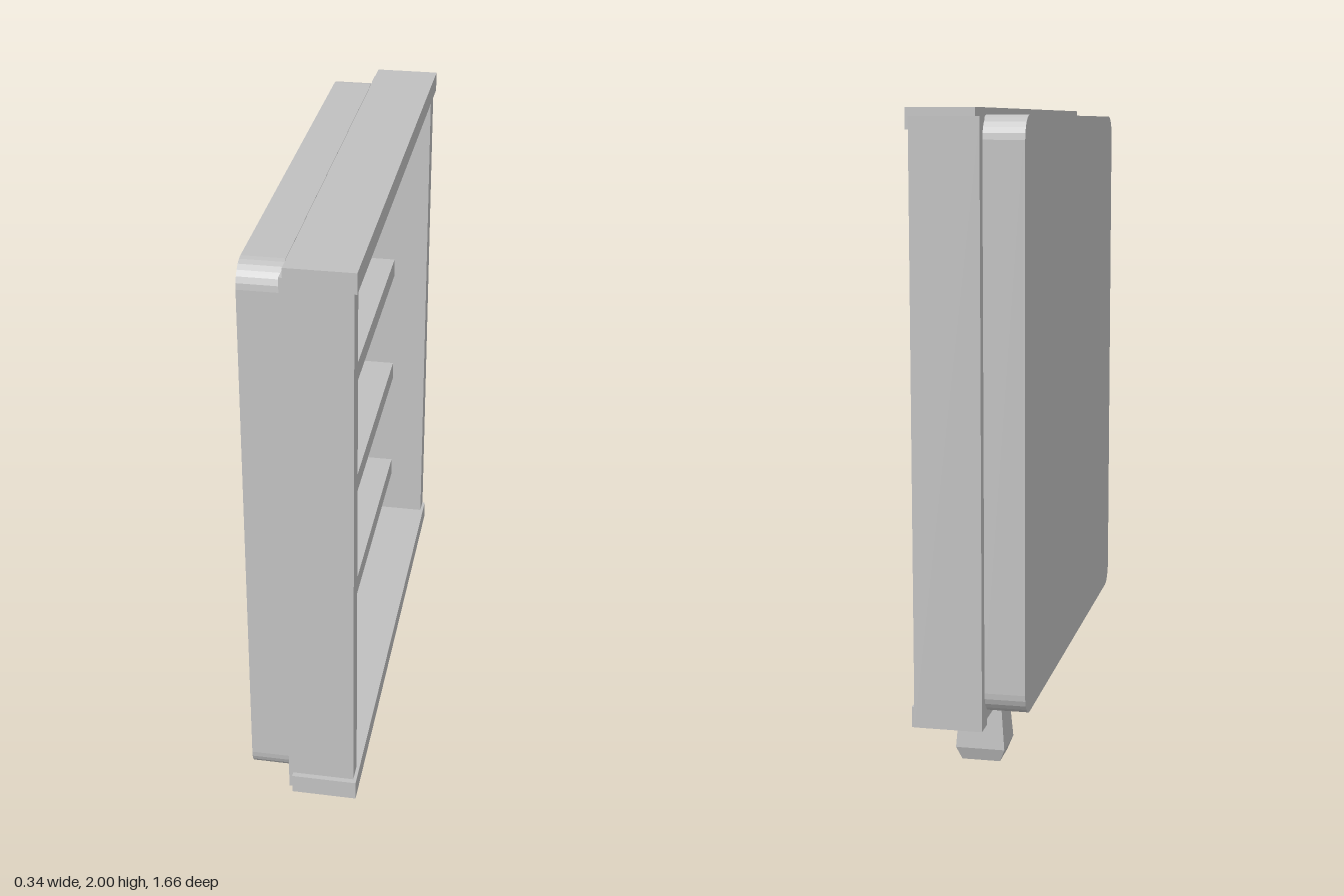
import * as THREE from 'three';

const grey = new THREE.MeshStandardMaterial({ color: 0xc0c0c0 });
grey.name = 'light grey';

// Box from its minimum and maximum corners
function slab(name, [x0, y0, z0], [x1, y1, z1]) {
  const mesh = new THREE.Mesh(new THREE.BoxGeometry(x1 - x0, y1 - y0, z1 - z0), grey);
  mesh.position.set((x0 + x1) / 2, (y0 + y1) / 2, (z0 + z1) / 2);
  mesh.name = name;
  return mesh;
}

// Rounded rectangle centred on the origin
function roundedRect(Type, w, h, r) {
  const s = new Type();
  const a = w / 2 - r, b = h / 2 - r;
  s.absarc(a, b, r, 0, Math.PI / 2);
  s.absarc(-a, b, r, Math.PI / 2, Math.PI);
  s.absarc(-a, -b, r, Math.PI, Math.PI * 1.5);
  s.absarc(a, -b, r, Math.PI * 1.5, Math.PI * 2);
  s.closePath();
  return s;
}

// Extrudes a shape along +x, starting at the given x
function extrudeX(name, shape, x, depth) {
  const geo = new THREE.ExtrudeGeometry(shape, { depth, bevelEnabled: false, curveSegments: 3 });
  geo.rotateY(Math.PI / 2);
  const mesh = new THREE.Mesh(geo, grey);
  mesh.position.set(x, 1.105, 0);
  mesh.name = name;
  return mesh;
}

export function createModel() {
  const model = new THREE.Group();
  model.name = 'shelfUnit';

  // Shallow rounded back tray, open towards the shelves
  const t = 0.006, w = 1.588, h = 1.75, r = 0.07;
  const back = new THREE.Group();
  back.name = 'backTray';
  const rim = roundedRect(THREE.Shape, w, h, r);
  rim.holes.push(roundedRect(THREE.Path, w - 2 * t, h - 2 * t, r - t));
  back.add(
    extrudeX('backPanel', roundedRect(THREE.Shape, w, h, r), -0.17, t),
    extrudeX('backRim', rim, -0.17 + t, 0.125 - t)
  );
  model.add(back);

  // Slightly offset frame boards
  const frame = new THREE.Group();
  frame.name = 'frame';
  frame.add(
    slab('topBoard', [-0.035, 1.938, -0.825], [0.167, 2, 0.828]),
    slab('bottomBoard', [-0.035, 0.19, -0.82], [0.167, 0.253, 0.832]),
    slab('leftPost', [-0.048, 0.197, 0.752], [0.157, 1.965, 0.815]),
    slab('rightPost', [-0.048, 0.193, -0.829], [0.157, 1.975, -0.765])
  );
  model.add(frame);

  // Shelves
  for (const y of [0.413, 0.833, 1.255, 1.68]) {
    model.add(slab('shelf', [-0.165, y, -0.757], [0.041, y + 0.065, 0.755]));
  }

  // Square feet, flared and then chamfered at the floor
  const profile = [[0, 0], [0.053, 0], [0.068, 0.042], [0.057, 0.195], [0, 0.195]]
    .map(([half, y]) => new THREE.Vector2(half * Math.SQRT2, y));
  const footGeo = new THREE.LatheGeometry(profile, 4, Math.PI / 4).toNonIndexed();
  footGeo.scale(1.13, 1, 1);
  footGeo.computeVertexNormals();
  for (const z of [0.544, -0.503]) {
    const foot = new THREE.Mesh(footGeo, grey);
    foot.position.set(0.018, 0, z);
    foot.name = 'foot';
    model.add(foot);
  }
  return model;
}
